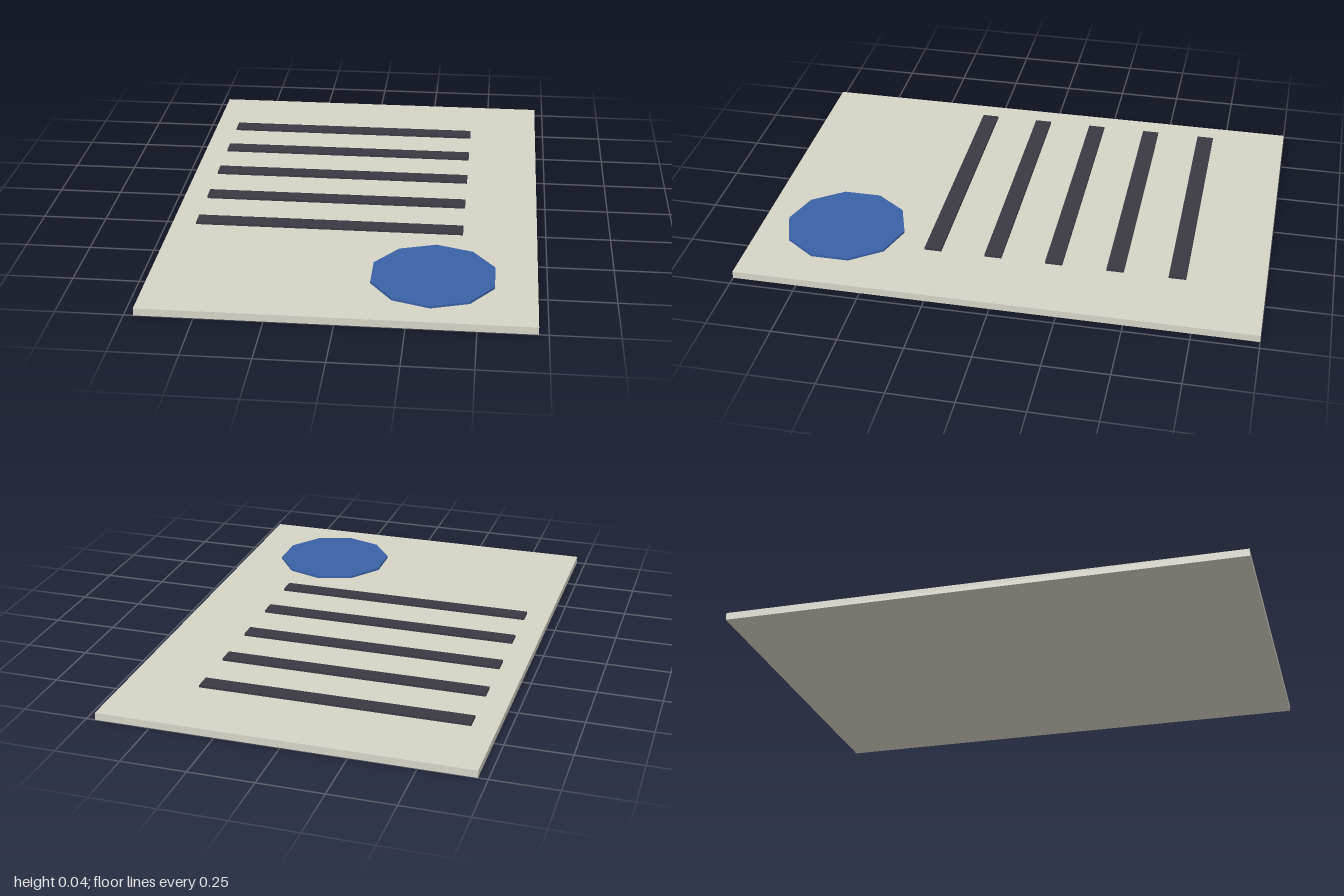
import * as THREE from 'three';

export function createModel() {
  const group = new THREE.Group();
  const material = (color) => new THREE.MeshStandardMaterial({ color, flatShading: true });
  const sheetTop = 0.0286;
  const raised = 0.0095;

  const add = (name, geometry, mat, x, y, z) => {
    const mesh = new THREE.Mesh(geometry, mat);
    mesh.name = name;
    mesh.position.set(x, y, z);
    group.add(mesh);
  };

  // Flat page lying on the ground
  add('sheet', new THREE.BoxGeometry(1.4286, sheetTop, 2), material(0xd6d3c6), 0, sheetTop / 2, 0);

  // Five raised text lines, evenly spaced from the back edge
  const lineGeometry = new THREE.BoxGeometry(1.0476, raised, 0.0667);
  const lineMaterial = material(0x3a3942);
  for (let i = 0; i < 5; i++) {
    add(`textLine${i + 1}`, lineGeometry, lineMaterial, -0.0952, sheetTop + raised / 2, -0.6667 + i * 0.2381);
  }

  // Ten-sided seal in the front left corner
  add('seal', new THREE.CylinderGeometry(0.2381, 0.2381, raised, 10), material(0x3a62a6),
    0.3314, sheetTop + raised / 2, 0.6640);

  return group;
}
